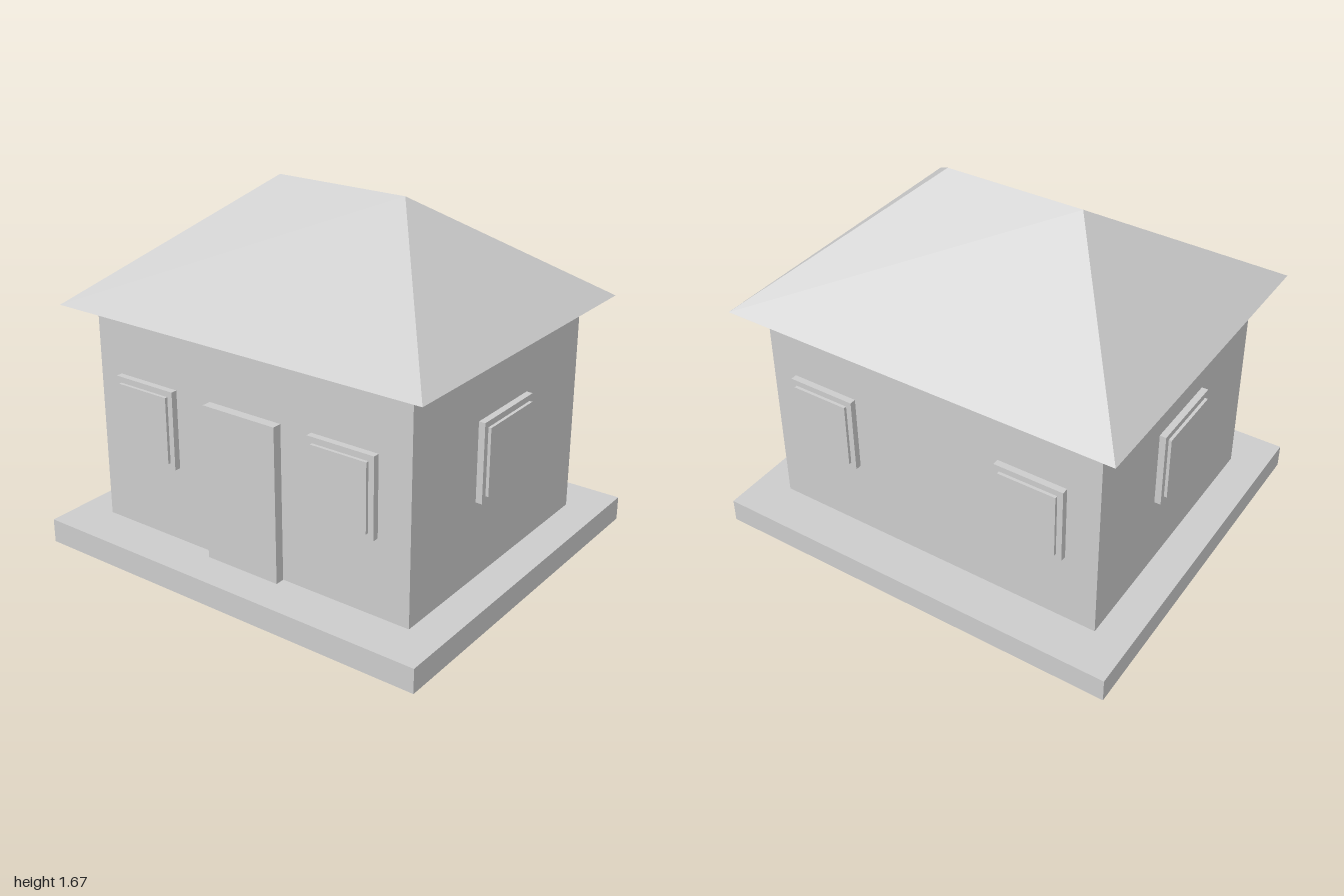
import * as THREE from 'three';

const plaster = new THREE.MeshStandardMaterial({ color: 0xcccccc });
plaster.name = 'lightGrey';

function addBox(parent, name, w, h, d, x, y, z) {
  const mesh = new THREE.Mesh(new THREE.BoxGeometry(w, h, d), plaster);
  mesh.name = name;
  mesh.position.set(x, y, z);
  parent.add(mesh);
  return mesh;
}

// Hip roof: rectangular eaves rising to a short ridge along x
function hipRoof(w, d, ridge, eave, top) {
  const points = [
    [-w, eave, d], [w, eave, d], [w, eave, -d], [-w, eave, -d],
    [ridge, top, 0], [-ridge, top, 0],
  ];
  const faces = [
    [0, 1, 4], [0, 4, 5], // front slope
    [1, 2, 4],            // left hip
    [2, 3, 5], [2, 5, 4], // back slope
    [3, 0, 5],            // right hip
    [0, 3, 2], [0, 2, 1], // underside
  ];
  const geometry = new THREE.BufferGeometry();
  const coords = faces.flat().flatMap((i) => points[i]);
  geometry.setAttribute('position', new THREE.Float32BufferAttribute(coords, 3));
  geometry.computeVertexNormals();
  return geometry;
}

// Window facing +z: a frame slab with a raised pane, origin on the frame's back
function makeWindow(name, width) {
  const group = new THREE.Group();
  group.name = name;
  addBox(group, 'windowFrame', width, 0.367, 0.03, 0, 0, 0.015);
  addBox(group, 'windowPane', width - 0.053, 0.312, 0.014, 0, 0, 0.037);
  return group;
}

export function createModel() {
  const house = new THREE.Group();
  house.name = 'house';

  addBox(house, 'foundation', 2, 0.114, 1.76, 0, 0.057, 0);
  addBox(house, 'walls', 1.667, 1.013, 1.333, 0, 0.6205, 0);
  addBox(house, 'door', 0.382, 0.724, 0.044, 0, 0.476, 0.689);

  const roof = new THREE.Mesh(hipRoof(0.947, 0.783, 0.333, 1.147, 1.667), plaster);
  roof.name = 'roof';
  house.add(roof);

  // Two windows each on the front and back, one on each side
  const windowY = 0.67;
  for (const s of [1, -1]) {
    for (const x of [0.527, -0.527]) {
      const win = makeWindow(s > 0 ? 'frontWindow' : 'backWindow', 0.327);
      win.position.set(x, windowY, s * 0.686);
      win.rotation.y = s > 0 ? 0 : Math.PI;
      house.add(win);
    }
    const side = makeWindow(s > 0 ? 'leftWindow' : 'rightWindow', 0.391);
    side.position.set(s * 0.841, windowY, 0);
    side.rotation.y = s * Math.PI / 2;
    house.add(side);
  }
  return house;
}
